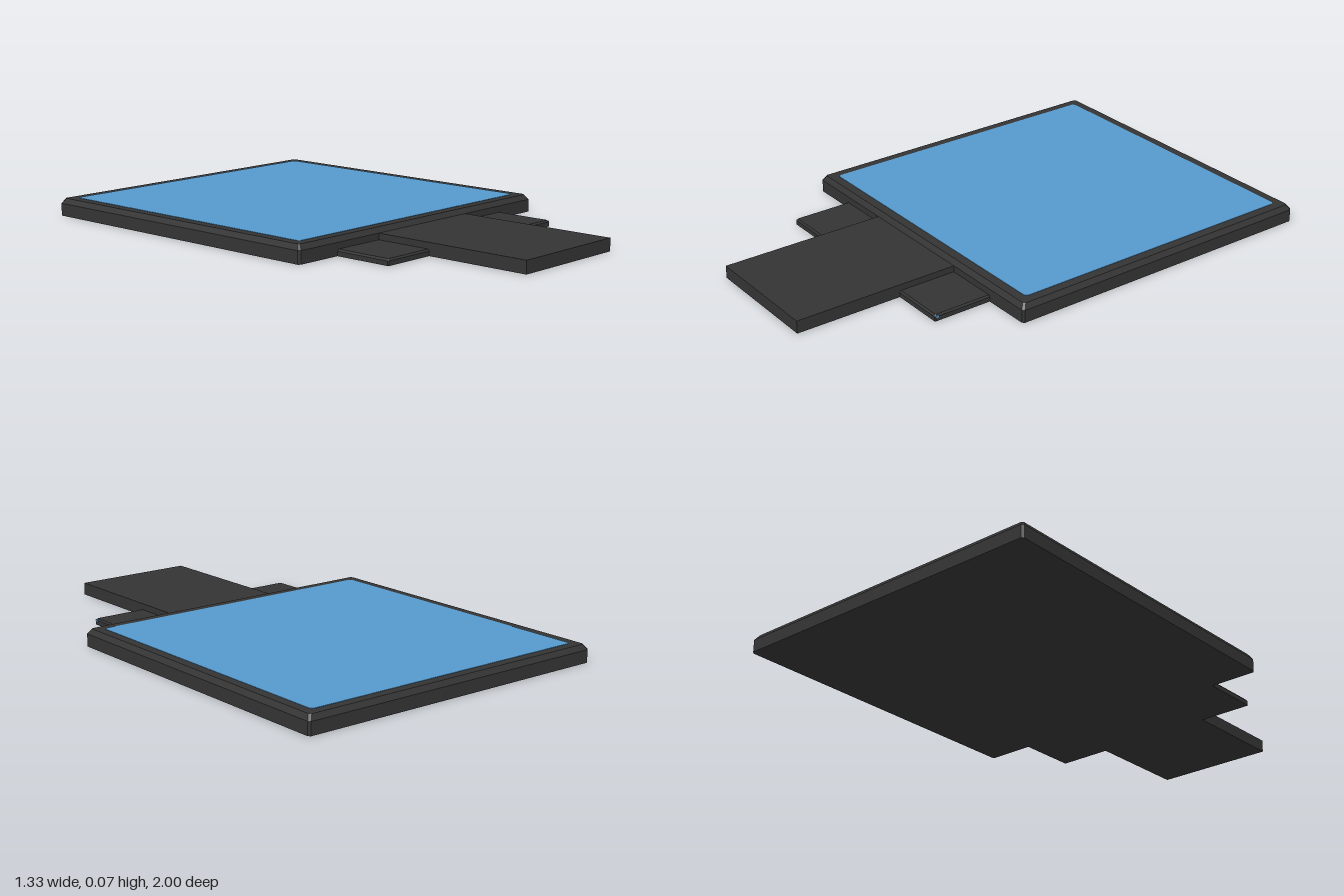
import * as THREE from 'three';

// Rectangle outline with cut corners, as [x, z] points running clockwise seen from above
function outline(hw, z0, z1, cut) {
  return [
    [-hw + cut, z0], [hw - cut, z0], [hw, z0 + cut], [hw, z1 - cut],
    [hw - cut, z1], [-hw + cut, z1], [-hw, z1 - cut], [-hw, z0 + cut],
  ];
}

// Closed slab lofted through levels of [y, inset]
function slab(hw, z0, z1, cut, levels) {
  const loops = levels.map(([y, inset]) =>
    outline(hw - inset, z0 + inset, z1 - inset, cut).map(([x, z]) => [x, y, z]));
  const pos = [];
  const tri = (a, b, c) => pos.push(...a, ...b, ...c);
  for (let l = 0; l < loops.length - 1; l++) {
    const lo = loops[l], hi = loops[l + 1];
    for (let i = 0; i < 8; i++) {
      const j = (i + 1) % 8;
      tri(lo[i], hi[i], hi[j]);
      tri(lo[i], hi[j], lo[j]);
    }
  }
  const bottom = loops[0], top = loops[loops.length - 1];
  for (let i = 1; i < 7; i++) {
    tri(bottom[0], bottom[i], bottom[i + 1]);
    tri(top[0], top[i + 1], top[i]);
  }
  const geo = new THREE.BufferGeometry();
  geo.setAttribute('position', new THREE.Float32BufferAttribute(pos, 3));
  geo.computeVertexNormals();
  return geo;
}

export function createModel() {
  const model = new THREE.Group();
  model.name = 'displayModule';
  const casing = new THREE.MeshStandardMaterial({ color: 0x343434 });
  casing.name = 'charcoal';
  const glass = new THREE.MeshStandardMaterial({ color: 0x5599cd });
  glass.name = 'screenBlue';

  const add = (name, geo, mat) => {
    const mesh = new THREE.Mesh(geo, mat);
    mesh.name = name;
    model.add(mesh);
    return mesh;
  };

  // Main panel with bevelled top rim
  add('panelFrame', slab(0.665, -1, 0.33, 0.008, [[0, 0], [0.05, 0], [0.07, 0.014]]), casing);

  // Blue display area with small cut corners
  add('screen', slab(0.615, -0.95, 0.28, 0.01, [[0.068, 0], [0.0715, 0]]), glass);

  // Low wide shelf in front of the panel
  add('wideTab', slab(0.47, 0.3, 0.57, 0.003, [[0, 0], [0.018, 0], [0.025, 0.006]]), casing);

  // Long narrow connector tongue
  const tongue = add('connectorTongue', new THREE.BoxGeometry(0.5, 0.05, 0.7), casing);
  tongue.position.set(0, 0.025, 0.65);

  // Tiny indicator on the shelf's left edge
  const light = add('indicator', new THREE.BoxGeometry(0.004, 0.008, 0.014), glass);
  light.position.set(0.469, 0.017, 0.56);

  return model;
}
